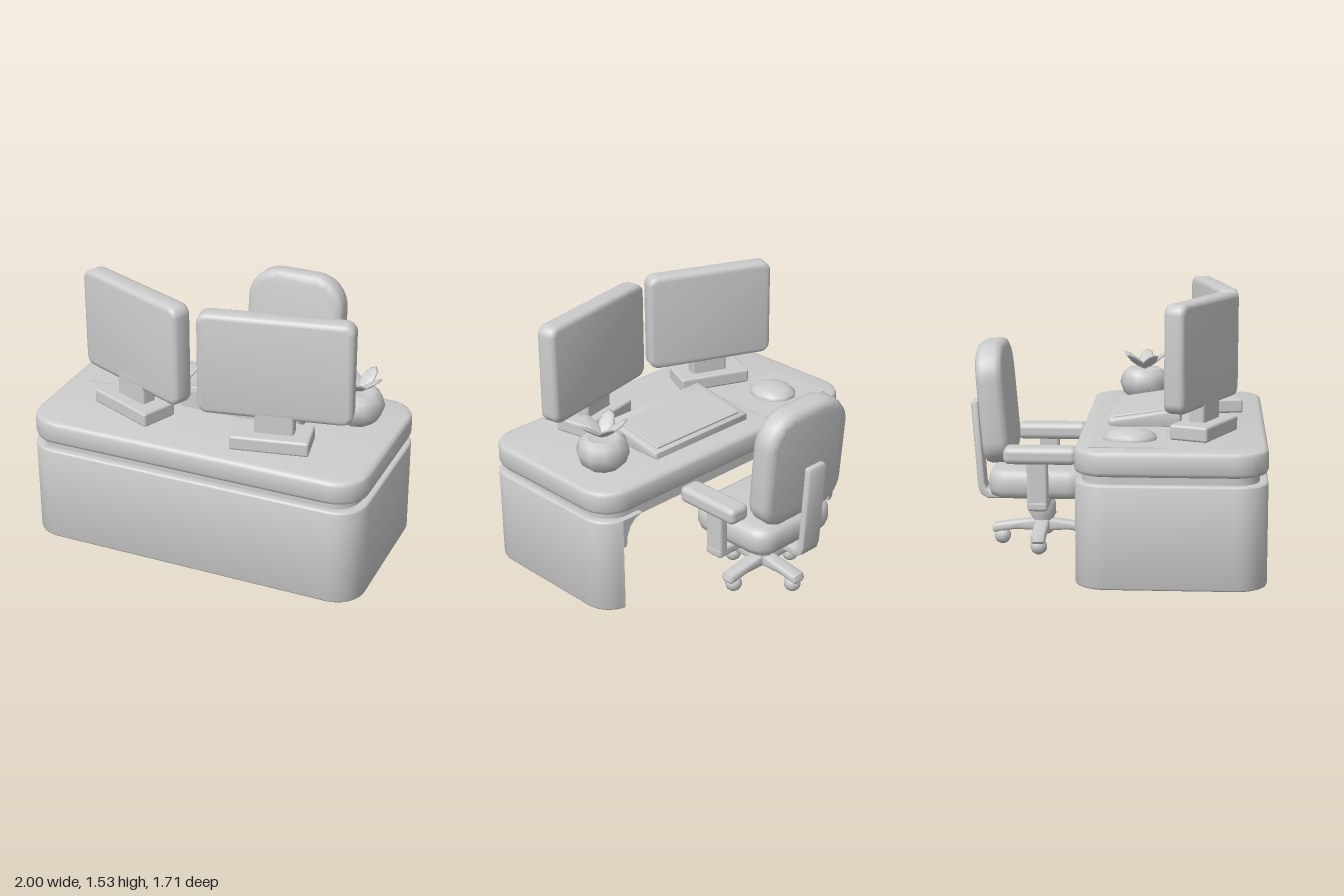
import * as THREE from 'three';
import { toCreasedNormals } from 'three/addons/utils/BufferGeometryUtils.js';
import { RoundedBoxGeometry } from 'three/addons/geometries/RoundedBoxGeometry.js';

const grey = new THREE.MeshStandardMaterial({ color: 0xcccccc });
grey.name = 'light grey';

function add(parent, name, geometry, x = 0, y = 0, z = 0) {
  const mesh = new THREE.Mesh(geometry, grey);
  mesh.name = name;
  mesh.position.set(x, y, z);
  parent.add(mesh);
  return mesh;
}

function group(parent, name, x = 0, y = 0, z = 0) {
  const g = new THREE.Group();
  g.name = name;
  g.position.set(x, y, z);
  parent.add(g);
  return g;
}

const box = (w, h, d, r = 0.015) => new RoundedBoxGeometry(w, h, d, 2, r);

// Centred rectangle with rounded corners, low radius rb and high radius rt
function roundedRect(w, h, rb, rt = rb) {
  const s = new THREE.Shape(), a = w / 2, b = h / 2, q = Math.PI / 2;
  s.absarc(a - rb, -b + rb, rb, -q, 0);
  s.absarc(a - rt, b - rt, rt, 0, q);
  s.absarc(-a + rt, b - rt, rt, q, 2 * q);
  s.absarc(-a + rb, -b + rb, rb, 2 * q, 3 * q);
  return s;
}

// Extrusion of total depth d, bevelled inwards
function extrude(shape, d, bevel = 0, curveSegments = 4) {
  const g = new THREE.ExtrudeGeometry(shape, {
    depth: d - 2 * bevel, curveSegments, bevelEnabled: bevel > 0,
    bevelThickness: bevel, bevelSize: bevel, bevelOffset: -bevel, bevelSegments: 2,
  });
  g.translate(0, 0, bevel - d / 2);
  return toCreasedNormals(g, 0.8);
}

// Plan shape (x, z) as a horizontal slab
const slab = (shape, h, bevel, seg) => extrude(shape, h, bevel, seg).rotateX(Math.PI / 2);

// Side profile (z, y) widened along x
function sideProfile(points, width, bevel) {
  const s = new THREE.Shape(points.map(([z, y]) => new THREE.Vector2(z, y)));
  return extrude(s, width, bevel).rotateY(-Math.PI / 2);
}

function buildDesk(root) {
  const desk = group(root, 'desk');
  add(desk, 'deskTop', slab(roundedRect(2, 1.04, 0.18), 0.135, 0.025, 3), 0, 0.705, 0.32);
  add(desk, 'recessedNeck', slab(roundedRect(1.91, 0.95, 0.15), 0.09, 0), 0, 0.605, 0.32);

  // U-shaped wall, open at the back and below
  const q = Math.PI / 2, u = new THREE.Shape(), r = 0.17, t = 0.06;
  u.moveTo(0.86, -0.19);
  u.absarc(1 - r, -0.195 + r, r, -q + 0.2, 0);
  u.absarc(1 - r, 0.84 - r, r, 0, q);
  u.absarc(-1 + r, 0.84 - r, r, q, 2 * q);
  u.absarc(-1 + r, -0.195 + r, r, 2 * q, 3 * q - 0.2);
  u.lineTo(-0.86, -0.13);
  const ri = r - t;
  u.absarc(-1 + r, -0.195 + r, ri, 3 * q - 0.3, 2 * q, true);
  u.absarc(-1 + r, 0.84 - r, ri, 2 * q, q, true);
  u.absarc(1 - r, 0.84 - r, ri, q, 0, true);
  u.absarc(1 - r, -0.195 + r, ri, 0, -q + 0.3, true);
  add(desk, 'wall', slab(u, 0.57, 0.012), 0, 0.31, 0);

  // Curved upper corners of the back opening
  for (const s of [-1, 1]) {
    const f = new THREE.Shape();
    f.moveTo(0.87 * s, 0.59);
    f.lineTo(0.72 * s, 0.59);
    f.quadraticCurveTo(0.84 * s, 0.57, 0.84 * s, 0.42);
    f.lineTo(0.87 * s, 0.42);
    add(desk, 'openingCorner', extrude(f, 0.06), 0, 0, -0.16);
  }
}

function buildMonitor(root, name, x, z, width, turn) {
  const m = group(root, name, x, 0, z);
  m.rotation.y = turn;
  add(m, 'panel', extrude(roundedRect(width, 0.59, 0.06), 0.12, 0.025), 0, 1.235, 0);
  add(m, 'neck', box(0.22, 0.2, 0.09), 0, 0.93, 0.015);
  add(m, 'base', box(0.44, 0.085, 0.225), -0.015, 0.815, 0.02);
}

function buildDeskItems(root) {
  buildMonitor(root, 'rightMonitor', -0.455, 0.48, 0.785, -0.406);
  buildMonitor(root, 'leftMonitor', 0.41, 0.545, 0.855, 0.2);

  // Sloping keyboard with a raised key panel
  const k = group(root, 'keyboard', 0.11, 0, 0);
  add(k, 'keyboardBody', sideProfile([[-0.05, 0.765], [0.36, 0.765], [0.36, 0.875], [-0.05, 0.81]], 0.74, 0.015));
  add(k, 'keyPanel', box(0.66, 0.02, 0.33, 0.006), 0, 0.842, 0.145).rotation.x = -0.157;

  // Mouse on a thin mat
  add(root, 'mouseMat', new THREE.BoxGeometry(0.52, 0.006, 0.41), -0.61, 0.774, 0.085);
  const dome = new THREE.SphereGeometry(1, 10, 4, 0, Math.PI * 2, 0, Math.PI / 2);
  add(root, 'mouse', dome, -0.625, 0.774, 0.09).scale.set(0.135, 0.065, 0.155);

  // Round pot with a fan of leaves
  const plant = group(root, 'plant', 0.73, 0.77, 0.115);
  const pot = [[0, 0], [0.09, 0], [0.13, 0.035], [0.153, 0.1], [0.135, 0.16], [0.1, 0.19], [0.085, 0.175], [0, 0.17]];
  add(plant, 'pot', new THREE.LatheGeometry(pot.map(([a, b]) => new THREE.Vector2(a, b)), 10));
  for (let i = 0; i < 5; i++) {
    const holder = group(plant, 'leafHolder', 0, 0.185, 0);
    holder.rotation.y = 1.15 + i * Math.PI * 0.4;
    const leaf = new THREE.SphereGeometry(1, 8, 6).scale(0.09, 0.012, 0.047).translate(0.085, 0, 0);
    add(holder, 'leaf', leaf).rotation.z = 0.62;
  }
}

function buildChair(root) {
  const c = group(root, 'chair', 0.03, 0, -0.46);
  add(c, 'seat', slab(roundedRect(0.62, 0.58, 0.12), 0.165, 0.05), 0, 0.42, 0);
  const back = add(c, 'backrest', extrude(roundedRect(0.62, 0.69, 0.14, 0.2), 0.155, 0.04), 0, 0.877, -0.258);
  back.rotation.x = -0.085;

  // Bent bar from below the seat up the backrest
  add(c, 'backBar', sideProfile([
    [0.24, 0.29], [-0.32, 0.29], [-0.36, 0.315], [-0.375, 0.36], [-0.41, 0.85], [-0.4, 0.87], [-0.37, 0.87],
    [-0.335, 0.38], [-0.325, 0.35], [-0.3, 0.34], [0.24, 0.34]], 0.14, 0.01));

  // Armrests on side brackets
  for (const s of [-1, 1]) {
    add(c, 'armrest', box(0.14, 0.1, 0.42, 0.035), 0.37 * s, 0.62, 0.03);
    add(c, 'armPost', box(0.065, 0.3, 0.12, 0.02), 0.365 * s, 0.445, 0.01);
    add(c, 'armBracket', box(0.36, 0.06, 0.12, 0.02), 0.22 * s, 0.322, 0.01);
  }

  // Column and four-legged base on casters
  const column = [[0, 0.1], [0.06, 0.1], [0.06, 0.16], [0.08, 0.19], [0.08, 0.25], [0.065, 0.3], [0, 0.3]];
  add(c, 'column', new THREE.LatheGeometry(column.map(([a, b]) => new THREE.Vector2(a, b)), 12));
  for (let i = 0; i < 4; i++) {
    const arm = group(c, 'baseArm');
    arm.rotation.y = i * Math.PI / 2;
    add(arm, 'baseLeg', sideProfile([[0, 0.09], [0.16, 0.095], [0.29, 0.075], [0.3, 0.09], [0.29, 0.125], [0.12, 0.15], [0, 0.165]], 0.085, 0.015));
    add(arm, 'caster', new THREE.SphereGeometry(0.05, 10, 7), 0, 0.05, 0.24);
  }
}

export function createModel() {
  const root = new THREE.Group();
  root.name = 'deskWorkstation';
  buildDesk(root);
  buildDeskItems(root);
  buildChair(root);
  return root;
}
